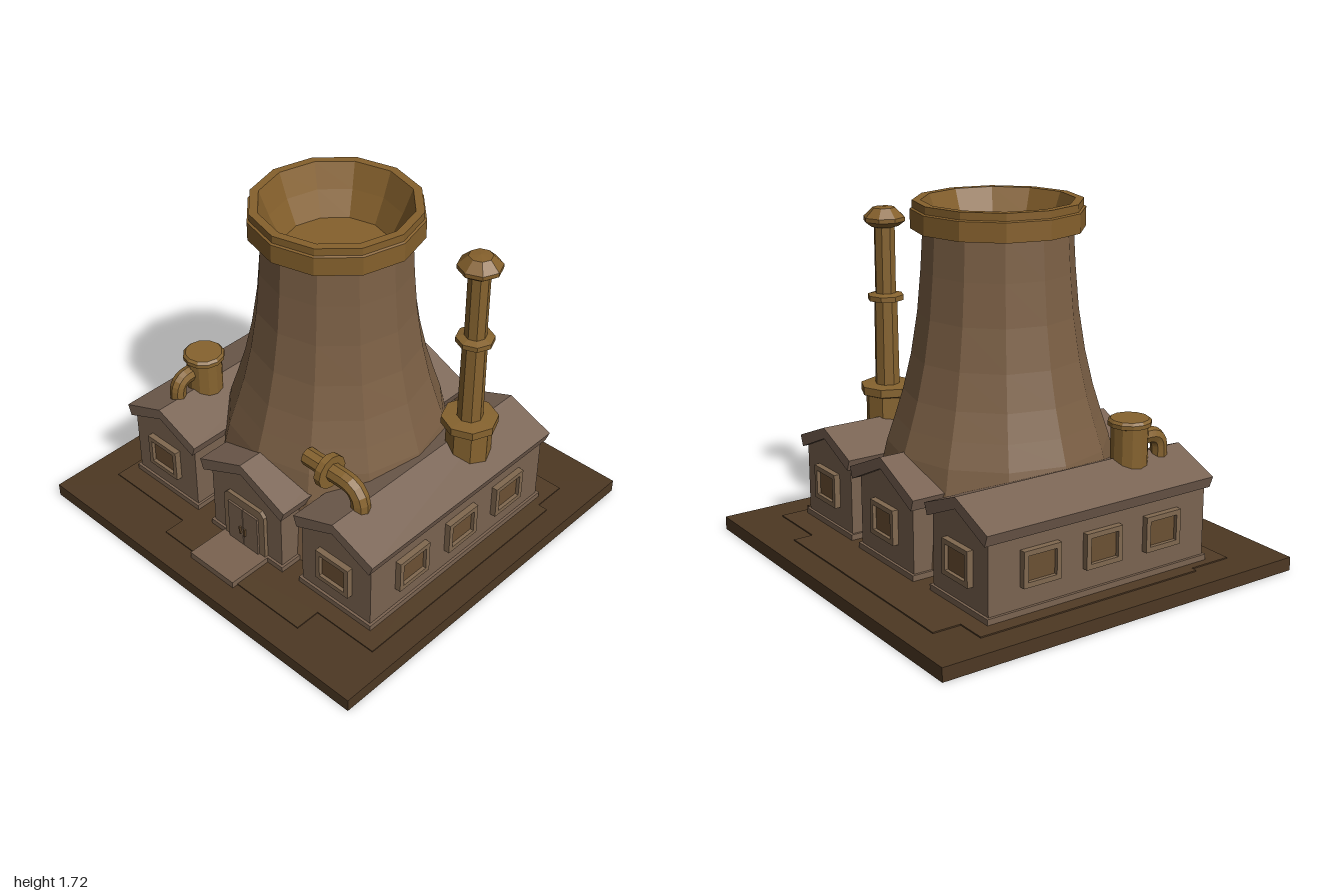
import * as THREE from 'three';

const mat = (color) => new THREE.MeshStandardMaterial({ color, flatShading: true, side: THREE.DoubleSide });
const M = {
  ground: mat(0x4d3823), paving: mat(0x513c26), wall: mat(0x7a6350), roof: mat(0x796353),
  frame: mat(0x80684f), pane: mat(0x6b5033), tower: mat(0x7c6045), rim: mat(0x85602c), pipe: mat(0x86632f),
};

function add(parent, name, geometry, material, x = 0, y = 0, z = 0) {
  const mesh = new THREE.Mesh(geometry, material);
  mesh.name = name;
  mesh.position.set(x, y, z);
  parent.add(mesh);
  return mesh;
}

// Box given by its lower and upper corners
function box(parent, name, material, [x0, y0, z0], [x1, y1, z1]) {
  return add(parent, name, new THREE.BoxGeometry(x1 - x0, y1 - y0, z1 - z0), material,
    (x0 + x1) / 2, (y0 + y1) / 2, (z0 + z1) / 2);
}

const polygon = (pts) => new THREE.Shape(pts.map(([x, y]) => new THREE.Vector2(x, y)));
const extrude = (shape, depth) => new THREE.ExtrudeGeometry(shape, { depth, bevelEnabled: false, curveSegments: 6 });
const lathe = (pts, sides) => new THREE.LatheGeometry(pts.map(([r, y]) => new THREE.Vector2(r, y)), sides);

// Rectangular frame with a sunken pane, facing +z before turning
function windowUnit(parent, x, z, turn) {
  const g = new THREE.Group();
  g.name = 'window';
  const w = 0.1, h = 0.085, i = 0.024;
  const outer = polygon([[-w, -h], [w, -h], [w, h], [-w, h]]);
  outer.holes.push(polygon([[-w + i, -h + i], [-w + i, h - i], [w - i, h - i], [w - i, -h + i]]));
  add(g, 'windowFrame', extrude(outer, 0.035), M.frame, 0, 0, -0.005);
  box(g, 'windowPane', M.pane, [-w + i, -h + i, -0.01], [w - i, h - i, 0.012]);
  g.position.set(x, 0.285, z);
  g.rotation.y = turn;
  parent.add(g);
}

// Gabled hall running front to back
function hall(parent, name, cx, halfWall, halfRoof, wallZ, roofZ, eave, ridge) {
  const g = new THREE.Group();
  g.name = name;
  const t = 0.055;
  const slope = (ridge - eave) / halfRoof;
  const wallTop = ridge - slope * halfWall - t / 2;
  add(g, 'walls', extrude(polygon([[-halfWall, 0.07], [halfWall, 0.07], [halfWall, wallTop],
    [0, ridge - t / 2], [-halfWall, wallTop]]), wallZ * 2), M.wall, cx, 0, -wallZ);
  add(g, 'roof', extrude(polygon([[0, ridge], [-halfRoof, eave], [-halfRoof + 0.02, eave - t],
    [0, ridge - t], [halfRoof - 0.02, eave - t], [halfRoof, eave]]), roofZ * 2), M.roof, cx, 0, -roofZ);
  box(g, 'plinth', M.wall, [cx - halfWall - 0.013, 0.06, -wallZ - 0.013], [cx + halfWall + 0.013, 0.1, wallZ + 0.013]);
  windowUnit(g, cx, -wallZ, Math.PI);
  parent.add(g);
  return g;
}

export function createModel() {
  const model = new THREE.Group();
  model.name = 'coolingTowerPlant';

  // Ground slab and stepped paving
  box(model, 'groundSlab', M.ground, [-1, 0, -0.975], [1, 0.066, 0.975]);
  const paving = extrude(polygon([[-0.87, -0.7], [-0.72, -0.7], [-0.72, -0.84], [0.52, -0.84], [0.52, -0.74],
    [0.84, -0.74], [0.84, -0.57], [0.89, -0.57], [0.89, 0.7], [0.55, 0.7], [0.55, 0.83], [-0.35, 0.83],
    [-0.35, 0.72], [-0.84, 0.72], [-0.84, 0.5], [-0.87, 0.5]]), 0.008).rotateX(Math.PI / 2);
  add(model, 'paving', paving, M.paving, 0, 0.072, 0);

  // Halls: two long sides and the entrance hall
  const cx = 0.01;
  hall(model, 'entranceHall', cx, 0.23, 0.28, 0.62, 0.65, 0.475, 0.6);
  for (const s of [-1, 1]) {
    const x = s * 0.575;
    const side = hall(model, s < 0 ? 'rightHall' : 'leftHall', x, 0.213, 0.243, 0.605, 0.63, 0.485, 0.585);
    windowUnit(side, x, 0.605, 0);
    for (const z of [-0.34, 0, 0.34]) windowUnit(side, x + s * 0.213, z, s * Math.PI / 2);
  }

  // Entrance door and step
  const door = new THREE.Group();
  door.name = 'entrance';
  add(door, 'doorFrame', extrude(polygon([[-0.135, 0.07], [0.135, 0.07], [0.135, 0.345], [0.11, 0.37],
    [-0.11, 0.37], [-0.135, 0.345]]), 0.025), M.frame, cx, 0, 0.615);
  for (const s of [-1, 1]) {
    add(door, 'doorLeaf', new THREE.BoxGeometry(0.096, 0.235, 0.02), M.wall, cx + s * 0.05, 0.205, 0.64);
    add(door, 'doorHandle', new THREE.BoxGeometry(0.01, 0.04, 0.015), M.pane, cx + s * 0.015, 0.19, 0.652);
  }
  box(door, 'doorStep', M.wall, [-0.135, 0.066, 0.6], [0.155, 0.1, 0.86]);
  model.add(door);

  // Cooling tower shell, rim and funnel
  add(model, 'towerShell', lathe([[0.585, 0.066], [0.56, 0.45], [0.53, 0.58], [0.49, 0.7], [0.45, 0.83],
    [0.41, 1.0], [0.378, 1.2], [0.36, 1.4], [0.348, 1.6]], 12), M.tower);
  add(model, 'towerRim', lathe([[0.34, 1.59], [0.405, 1.59], [0.405, 1.68], [0.395, 1.685], [0.395, 1.72],
    [0.355, 1.72], [0.31, 1.6], [0.255, 1.48], [0, 1.48]], 12), M.rim);

  // Tall chimney
  const chimney = new THREE.Group();
  chimney.name = 'chimney';
  add(chimney, 'chimneyBase', lathe([[0.11, 0.5], [0.11, 0.68], [0.135, 0.69], [0.135, 0.73], [0.06, 0.735]], 8), M.pipe);
  add(chimney, 'chimneyShaft', lathe([[0.062, 0.7], [0.058, 1.17], [0.052, 1.18], [0.052, 1.55]], 8), M.pipe);
  add(chimney, 'chimneyBand', lathe([[0.055, 1.155], [0.09, 1.16], [0.09, 1.185], [0.052, 1.195]], 8), M.pipe);
  add(chimney, 'chimneyCap', lathe([[0.05, 1.52], [0.07, 1.525], [0.103, 1.55], [0.103, 1.57], [0.055, 1.615], [0, 1.62]], 8), M.rim);
  chimney.position.set(0.635, 0, -0.23);
  model.add(chimney);

  // Short vent with an elbow pipe at its front
  const vent = new THREE.Group();
  vent.name = 'vent';
  add(vent, 'ventBody', lathe([[0.088, 0.48], [0.088, 0.73], [0.102, 0.735], [0.102, 0.755], [0.09, 0.767], [0, 0.767]], 12), M.pipe);
  vent.position.set(-0.585, 0, 0.32);
  model.add(vent);

  // Elbow pipes: straight, quarter bend, then down into the roof
  function elbow(name, start, bend, end, radius, bendSize) {
    const path = new THREE.CurvePath();
    const a = bend.clone().add(start.clone().sub(bend).setLength(bendSize));
    const b = bend.clone().add(end.clone().sub(bend).setLength(bendSize));
    path.add(new THREE.LineCurve3(start, a));
    path.add(new THREE.QuadraticBezierCurve3(a, bend, b));
    path.add(new THREE.LineCurve3(b, end));
    add(model, name, new THREE.TubeGeometry(path, 14, radius, 8), M.pipe);
  }
  const v = (x, y, z) => new THREE.Vector3(x, y, z);
  elbow('ventPipe', v(-0.6, 0.67, 0.36), v(-0.6, 0.67, 0.485), v(-0.6, 0.5, 0.485), 0.04, 0.07);
  elbow('towerPipe', v(0.25, 0.68, 0.45), v(0.58, 0.68, 0.45), v(0.58, 0.5, 0.45), 0.045, 0.1);
  const flange = add(model, 'pipeFlange', new THREE.CylinderGeometry(0.085, 0.085, 0.035, 12), M.pipe, 0.392, 0.68, 0.455);
  flange.rotation.z = Math.PI / 2;

  return model;
}
